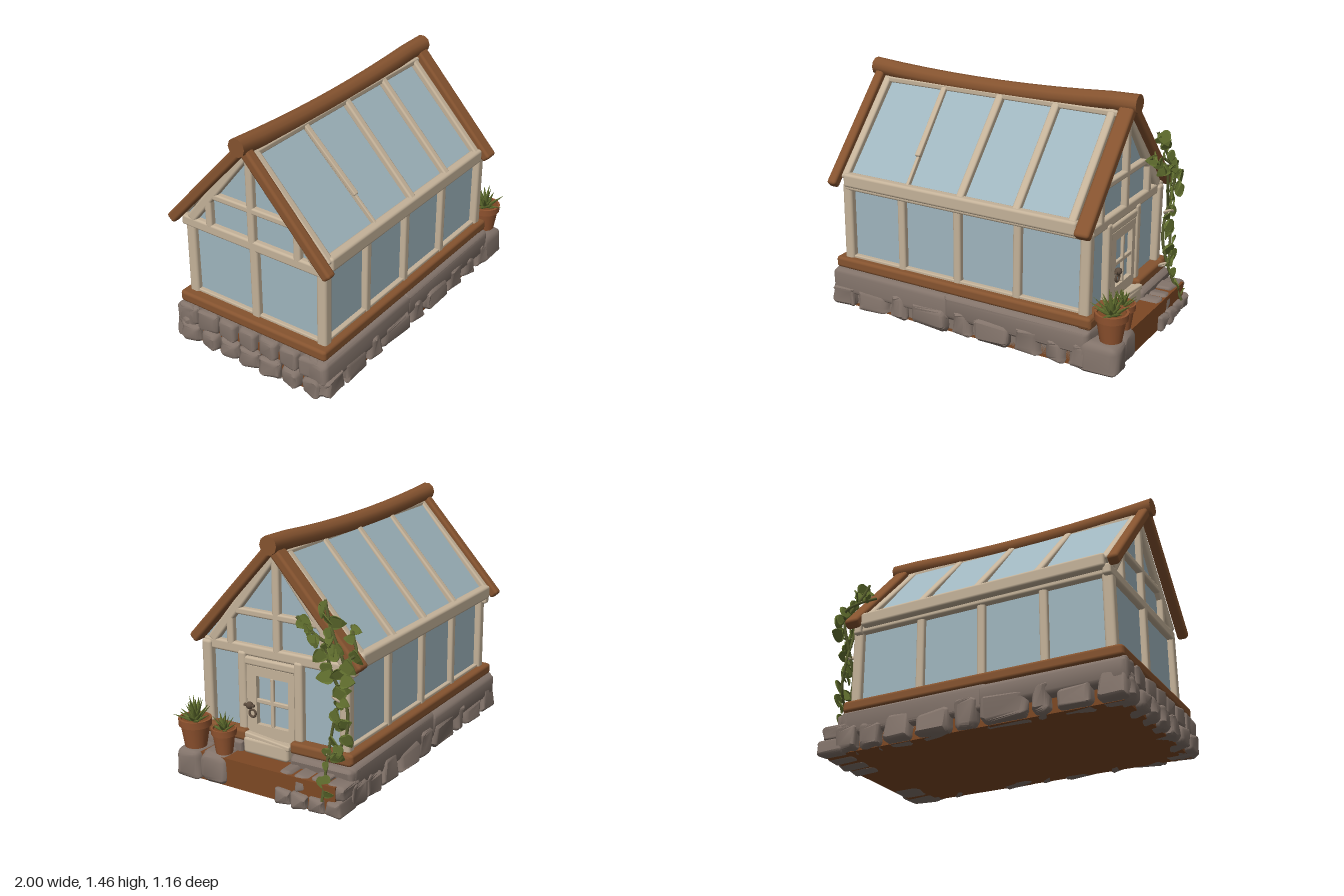
import * as THREE from 'three';
import { RoundedBoxGeometry } from 'three/addons/geometries/RoundedBoxGeometry.js';
import { mergeVertices, toCreasedNormals } from 'three/addons/utils/BufferGeometryUtils.js';

const V = (x, y, z) => new THREE.Vector3(x, y, z);
const mat = (name, color, side = THREE.FrontSide) => {
  const m = new THREE.MeshStandardMaterial({ color, side });
  m.name = name;
  return m;
};

export function createModel() {
  const root = new THREE.Group();
  root.name = 'greenhouse';
  const M = {
    cream: mat('cream timber', 0xc4b299),
    brown: mat('brown timber', 0x85532f),
    glass: mat('glass', 0x9fb5be),
    stone: mat('stone', 0x82736a),
    soil: mat('soil', 0x7d4824),
    pot: mat('terracotta', 0x90532f),
    leaf: mat('leaf green', 0x62702f, THREE.DoubleSide),
    stem: mat('stem green', 0x555c2c),
    metal: mat('bronze', 0x5c4c3e),
  };
  let seed = 7;
  const rnd = () => ((seed = (seed * 16807) % 2147483647) / 2147483647);
  const group = (name) => {
    const g = new THREE.Group();
    g.name = name;
    root.add(g);
    return g;
  };
  const add = (name, geo, m, parent = root) => {
    const mesh = new THREE.Mesh(geo, m);
    mesh.name = name;
    parent.add(mesh);
    return mesh;
  };
  // rounded timber from point a to b; w across x (or y for lengthwise beams), d the other way
  const beam = (name, a, b, w, d, m = M.cream, parent = root) => {
    const r = Math.min(w, d) * 0.28;
    const mesh = add(name, new RoundedBoxGeometry(w, a.distanceTo(b), d, 2, r), m, parent);
    mesh.position.copy(a).lerp(b, 0.5);
    mesh.quaternion.setFromUnitVectors(V(0, 1, 0), b.clone().sub(a).normalize());
    return mesh;
  };
  const box = (name, x0, x1, y0, y1, z0, z1, m, parent = root) => {
    const mesh = add(name, new THREE.BoxGeometry(x1 - x0, y1 - y0, z1 - z0), m, parent);
    mesh.position.set((x0 + x1) / 2, (y0 + y1) / 2, (z0 + z1) / 2);
    return mesh;
  };

  // stone footing
  const footing = group('stoneFooting');
  const stone = (x0, x1, y0, y1, z0, z1, bump = 0.012) => {
    const w = x1 - x0, h = y1 - y0, d = z1 - z0, s = rnd() * 20;
    let g = new RoundedBoxGeometry(w, h, d, 2, Math.min(w, h, d) * 0.22);
    g.deleteAttribute('normal');
    g.deleteAttribute('uv');
    g = mergeVertices(g, 1e-4);
    const p = g.attributes.position;
    for (let i = 0; i < p.count; i++) {
      const x = p.getX(i), y = p.getY(i), z = p.getZ(i);
      p.setXYZ(i, x - bump * Math.abs(Math.sin(y * 29 + z * 17 + s)) * Math.sign(x),
        y - bump * Math.abs(Math.sin(x * 23 + z * 21 + s)) * Math.sign(y),
        z - bump * Math.abs(Math.sin(x * 19 + y * 33 + s)) * Math.sign(z));
    }
    add('stone', toCreasedNormals(g, 0.6), M.stone, footing)
      .position.set((x0 + x1) / 2, (y0 + y1) / 2, (z0 + z1) / 2);
  };
  box('footingCore', -0.93, 0.78, 0.03, 0.245, -0.48, 0.53, M.stone, footing);
  box('soilBed', -0.94, 0.93, 0.012, 0.18, -0.48, 0.53, M.soil);
  const cuts = [-1, -0.8, -0.56, -0.42, -0.12, 0.04, 0.3, 0.5, 0.66, 0.82];
  for (const [zo, zi] of [[0.585, 0.42], [-0.545, -0.4]]) {
    const lo = Math.min(zo, zi), hi = Math.max(zo, zi), k = Math.sign(zo) * 0.015;
    for (let i = 0; i < cuts.length - 1; i++) {
      stone(cuts[i] + 0.012, cuts[i + 1] + 0.008, 0, 0.15 + 0.05 * rnd(), lo, hi, 0.02);
    }
    stone(-0.98, -0.1, 0.09, 0.258, lo - k, hi - k, 0.01);
    stone(-0.16, 0.81, 0.09, 0.258, lo - k, hi - k, 0.01);
  }
  for (let i = 0; i < 7; i++) {
    const z = -0.5 + i * 0.148;
    stone(-1, -0.86, 0, 0.14, z, z + 0.15, 0.015);
    stone(-0.98, -0.86, 0.11, 0.255, z - 0.02, z + 0.13, 0.012);
  }
  // doorstep end: large blocks on one side, cobbles on the other
  stone(0.74, 0.985, 0, 0.2, 0.4, 0.585);
  stone(0.74, 0.96, 0, 0.2, 0.235, 0.43);
  for (let i = 0; i < 4; i++) {
    const z = -0.53 + i * 0.108;
    stone(0.76, 0.95 + 0.03 * rnd(), 0, 0.105, z, z + 0.11);
    stone(0.74, 0.92 + 0.03 * rnd(), 0.085, 0.18 + 0.03 * rnd(), z, z + 0.115);
  }
  stone(0.72, 0.83, 0.13, 0.25, -0.53, -0.1);
  stone(0.72, 0.81, 0.13, 0.25, 0.22, 0.56);

  // brown sill around the footing
  const sill = group('sill');
  for (const z of [0.5, -0.465]) {
    beam('longSill', V(-0.95, 0.287, z), V(0.8, 0.287, z), 0.068, 0.085, M.brown, sill);
  }
  beam('endSill', V(-0.91, 0.287, -0.5), V(-0.91, 0.287, 0.54), 0.085, 0.068, M.brown, sill);
  beam('doorSideSill', V(0.76, 0.28, -0.5), V(0.76, 0.275, -0.1), 0.085, 0.068, M.brown, sill);
  beam('doorSideSill', V(0.76, 0.28, 0.2), V(0.76, 0.28, 0.54), 0.085, 0.068, M.brown, sill);

  // wall glass and roof glass prism
  box('wallGlass', -0.865, 0.73, 0.25, 0.8, -0.435, 0.47, M.glass);
  const gable = new THREE.Shape([[-0.5, 0.81], [0.5, 0.81], [0.5, 0.825], [-0.02, 1.375], [-0.5, 0.825]]
    .map(([x, y]) => new THREE.Vector2(x - 0.0, y)));
  const roofGlass = add('roofGlass',
    new THREE.ExtrudeGeometry(gable, { depth: 1.59, bevelEnabled: false }), M.glass);
  roofGlass.rotation.y = -Math.PI / 2; // shape x becomes z, depth runs along -x
  roofGlass.position.x = 0.725;
  roofGlass.scale.x = 1;
  roofGlass.position.z = 0.015;

  // wall posts, wall plates and eaves
  const frame = group('timberFrame');
  for (const z of [0.48, -0.44]) {
    [-0.87, -0.48, -0.09, 0.31, 0.74].forEach((x, i) => {
      const w = i % 4 ? 0.05 : 0.065;
      beam('wallPost', V(x, 0.3, z), V(x + 0.005, 0.8, z), w, w, M.cream, frame);
    });
    beam('lowerRail', V(-0.87, 0.325, z), V(0.74, 0.325, z), 0.025, 0.04, M.cream, frame);
    beam('wallPlate', V(-0.88, 0.785, z), V(0.75, 0.785, z), 0.05, 0.07, M.cream, frame);
    const e = z > 0 ? 0.51 : -0.49;
    beam('eaveBeam', V(-0.87, 0.83, e), V(0.7, 0.825, e), 0.085, 0.06, M.cream, frame);
  }

  // roof rafters, top strips and brown barge boards
  const roof = group('roofTimbers');
  for (const s of [1, -1]) {
    const at = (x, t, lift = 0) => V(x, 0.835 + 0.54 * t + lift, 0.015 + s * (0.505 * (1 - t) + lift));
    [-0.865, -0.44, -0.055, 0.315, 0.665].forEach((x, i) => {
      if (s > 0 && i === 1) { // split rafter
        beam('splitRafter', at(x + 0.02, 0), at(x - 0.01, 0.98), 0.02, 0.03, M.cream, roof);
        beam('splitRafter', at(x + 0.01, 0.3, 0.01), at(x - 0.01, 0.98, 0.005), 0.035, 0.025, M.cream, roof);
      } else beam('rafter', at(x, 0), at(x - 0.005, 0.98), 0.048, 0.045, M.cream, roof);
    });
    beam('ridgeStrip', at(-0.87, 0.95), at(0.7, 0.95), 0.035, 0.045, M.cream, roof);
    for (const [x, w] of [[-0.93, 0.062], [0.75, 0.092]]) {
      beam('bargeBoard', V(x, 0.795, 0.015 + s * 0.55), V(x, 1.385, 0.015 + s * 0.01), w, 0.062, M.brown, roof);
    }
  }
  // sagging ridge pole
  const ridgeGeo = new THREE.CylinderGeometry(0.055, 0.055, 1.79, 10, 10).rotateZ(Math.PI / 2);
  const rp = ridgeGeo.attributes.position;
  for (let i = 0; i < rp.count; i++) {
    const x = rp.getX(i) - 0.085;
    rp.setXYZ(i, x, rp.getY(i) + 1.376 + 0.034 * Math.min(1, ((x + 0.15) / 0.83) ** 2), rp.getZ(i) + 0.01);
  }
  ridgeGeo.computeVertexNormals();
  add('ridgePole', toCreasedNormals(ridgeGeo, 0.8), M.brown, roof);

  // gable framing at both ends
  for (const x of [0.735, -0.875]) {
    const g = group('gableFrame');
    const b = (n, y0, z0, y1, z1, w) => beam(n, V(x, y0, z0), V(x, y1, z1), 0.05, w, M.cream, g);
    b('tieBeam', 0.78, 0.5, 0.78, -0.5, 0.065);
    b('gableRafter', 0.8, 0.455, 1.35, 0.015, 0.06);
    b('gableRafter', 0.8, -0.435, 1.35, 0.005, 0.06);
    b('kingPost', 0.79, 0.008, 1.34, 0.008, 0.048);
    b('crossRail', 1.0, 0.28, 1.0, -0.26, 0.04);
    b('shortPost', 0.79, 0.322, 0.97, 0.322, 0.046);
    b('shortPost', 0.79, -0.295, 0.97, -0.295, 0.046);
  }
  beam('endPost', V(-0.875, 0.3, 0.02), V(-0.875, 0.78, 0.02), 0.05, 0.055, M.cream, frame);
  beam('endRail', V(-0.87, 0.325, -0.44), V(-0.87, 0.325, 0.48), 0.04, 0.025, M.cream, frame);

  // door with a cross window
  const door = group('door');
  beam('doorPost', V(0.74, 0.26, 0.24), V(0.74, 0.77, 0.24), 0.06, 0.055, M.cream, door);
  beam('doorPost', V(0.74, 0.3, -0.138), V(0.74, 0.77, -0.138), 0.06, 0.055, M.cream, door);
  beam('doorLintel', V(0.74, 0.72, -0.13), V(0.74, 0.72, 0.23), 0.05, 0.05, M.cream, door);
  const panel = new THREE.Shape([[-0.21, 0.27], [0.11, 0.27], [0.11, 0.695], [-0.21, 0.695]]
    .map(([x, y]) => new THREE.Vector2(x, y)));
  panel.holes.push(new THREE.Path([[-0.145, 0.35], [-0.145, 0.64], [0.07, 0.64], [0.07, 0.35]]
    .map(([x, y]) => new THREE.Vector2(x, y))));
  const leafDoor = add('doorPanel', new THREE.ExtrudeGeometry(panel, { depth: 0.035, bevelEnabled: false }), M.cream, door);
  leafDoor.rotation.y = Math.PI / 2;
  leafDoor.position.x = 0.725;
  beam('muntin', V(0.75, 0.35, 0.04), V(0.75, 0.64, 0.04), 0.02, 0.022, M.cream, door);
  beam('muntin', V(0.75, 0.492, -0.07), V(0.75, 0.492, 0.145), 0.02, 0.026, M.cream, door);
  beam('doorStep', V(0.785, 0.235, -0.1), V(0.785, 0.235, 0.205), 0.07, 0.1, M.cream, door);
  beam('brokenBoard', V(0.8, 0.27, -0.11), V(0.79, 0.295, 0.2), 0.04, 0.03, M.cream, door);
  const knob = add('doorKnob', new THREE.SphereGeometry(0.022, 12, 8), M.metal, door);
  knob.position.set(0.79, 0.468, 0.172);
  beam('handleLever', V(0.79, 0.468, 0.21), V(0.79, 0.468, 0.14), 0.016, 0.016, M.metal, door);
  const ring = add('doorRing', new THREE.TorusGeometry(0.022, 0.007, 6, 14), M.metal, door);
  ring.rotation.y = Math.PI / 2;
  ring.position.set(0.78, 0.42, 0.16);

  // potted succulents
  const potted = (x, y, z, r, h, n) => {
    const g = group('pottedPlant');
    g.position.set(x, y, z);
    const prof = [[0, 0], [0.66, 0], [0.87, 0.74], [0.98, 0.75], [1, 1], [0.86, 1], [0.84, 0.86], [0, 0.86]];
    const pot = new THREE.LatheGeometry(prof.map(([a, b]) => new THREE.Vector2(a * r, b * h)), 18);
    add('pot', toCreasedNormals(pot, 0.6), M.pot, g);
    const soil = add('potSoil', new THREE.CylinderGeometry(r * 0.84, r * 0.84, 0.01, 18), M.soil, g);
    soil.position.y = h * 0.88;
    for (let i = 0; i < n; i++) {
      const len = r * (0.8 + 0.45 * rnd()), a = i * 2.4, tilt = 1.15 * (1 - i / n) + 0.1;
      const blade = new THREE.ConeGeometry(r * 0.19, len, 5).translate(0, len / 2, 0).scale(1, 1, 0.55);
      const m = add('succulentLeaf', blade, M.leaf, g);
      m.position.set(Math.sin(a) * r * 0.25 * tilt, h * (0.9 + 0.2 * i / n), Math.cos(a) * r * 0.25 * tilt);
      m.rotation.set(tilt, a, 0, 'YXZ');
    }
  };
  potted(0.9, 0.2, 0.478, 0.096, 0.17, 24);
  potted(0.88, 0.19, 0.29, 0.073, 0.15, 16);

  // climbing vine with folded leaves
  const vine = group('vine');
  const outline = new THREE.Shape();
  outline.moveTo(0, 0);
  outline.bezierCurveTo(0.3, -0.2, 0.65, 0.1, 0.5, 0.4);
  outline.quadraticCurveTo(0.35, 0.8, 0, 1.1);
  outline.quadraticCurveTo(-0.35, 0.8, -0.5, 0.4);
  outline.bezierCurveTo(-0.65, 0.1, -0.3, -0.2, 0, 0);
  const leafGeo = new THREE.ExtrudeGeometry(outline, { depth: 0.08, bevelEnabled: false, curveSegments: 4 });
  const lp = leafGeo.attributes.position;
  for (let i = 0; i < lp.count; i++) lp.setZ(i, lp.getZ(i) + 0.35 * Math.abs(lp.getX(i)));
  leafGeo.computeVertexNormals();
  const runs = [
    [[[0.95, 0.09, -0.41], [0.86, 0.3, -0.39], [0.81, 0.5, -0.4], [0.82, 0.7, -0.46], [0.84, 0.85, -0.48], [0.83, 0.97, -0.42], [0.8, 1.08, -0.36], [0.78, 1.16, -0.33]], 20],
    [[[0.83, 0.93, -0.43], [0.83, 0.96, -0.33], [0.82, 1.0, -0.25], [0.81, 1.05, -0.17]], 8],
    [[[0.86, 0.3, -0.39], [0.83, 0.42, -0.48], [0.81, 0.6, -0.48], [0.83, 0.78, -0.4], [0.84, 0.92, -0.37]], 9],
    [[[0.84, 0.86, -0.48], [0.8, 0.9, -0.53], [0.74, 0.96, -0.48], [0.66, 1.0, -0.42]], 4],
  ];
  for (const [pts, n] of runs) {
    const curve = new THREE.CatmullRomCurve3(pts.map((p) => V(...p)));
    add('vineStem', new THREE.TubeGeometry(curve, 24, 0.009, 6), M.stem, vine);
    for (let i = 0; i < n; i++) {
      const leaf = add('vineLeaf', leafGeo, M.leaf, vine);
      leaf.position.copy(curve.getPoint((i + 0.7) / n)).add(V(0.012, 0, 0.03 * (rnd() - 0.5)));
      leaf.rotation.set((rnd() - 0.5) * 0.9, Math.PI / 2 + (rnd() - 0.5) * 1.4, Math.PI + (rnd() - 0.5) * 3.4, 'YXZ');
      leaf.scale.setScalar(0.05 + 0.035 * rnd());
    }
  }
  for (const [y, z] of [[0.64, -0.43], [0.31, -0.385]]) {
    const tie = add('vineTie', new THREE.TorusGeometry(0.026, 0.008, 6, 12), M.cream, vine);
    tie.position.set(0.83, y, z);
    tie.rotation.set(1.1, 0.5, 0);
  }
  return root;
}
